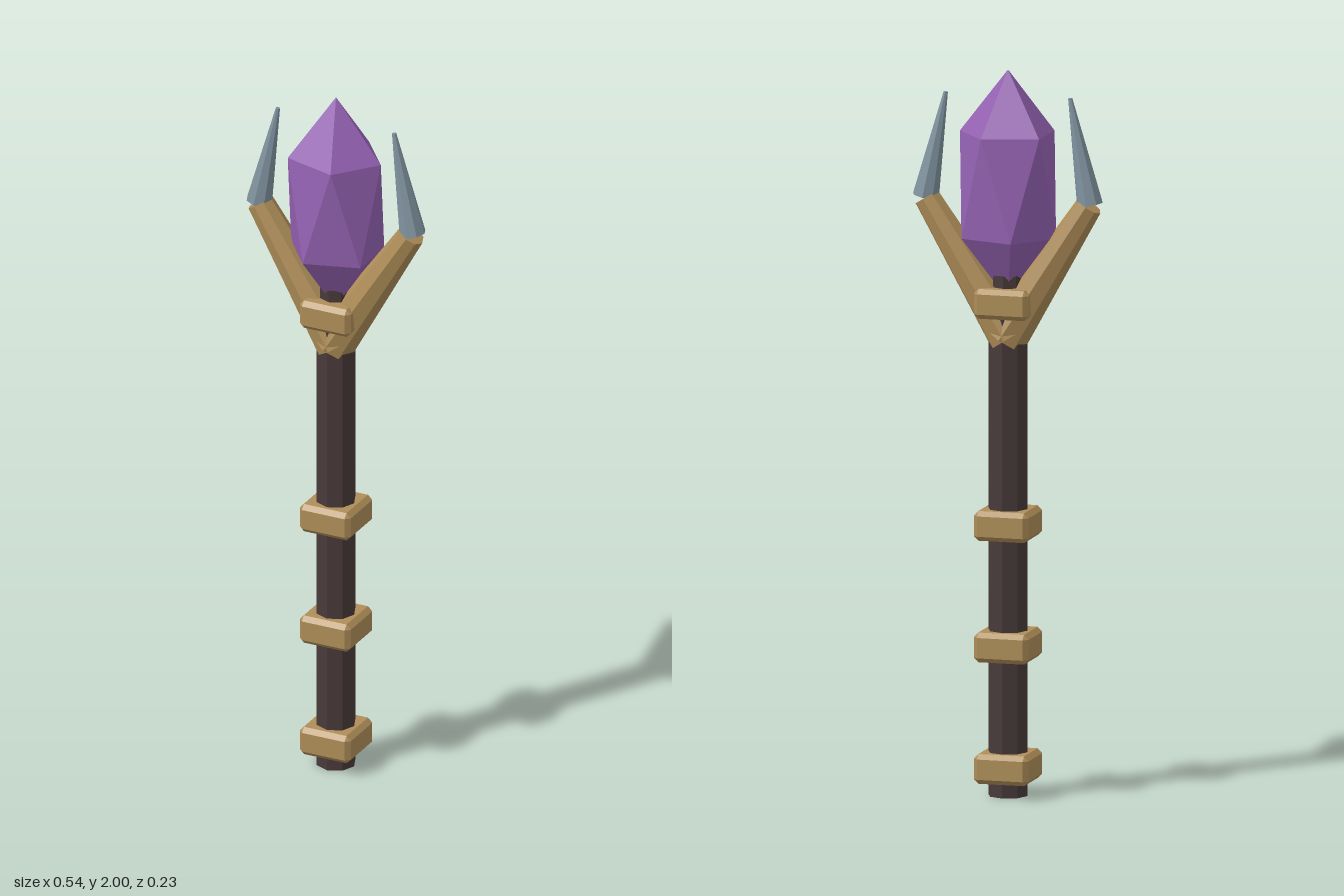
import * as THREE from 'three';
import { ConvexGeometry } from 'three/addons/geometries/ConvexGeometry.js';

const material = (name, color) => {
  const m = new THREE.MeshStandardMaterial({ color, flatShading: true });
  m.name = name;
  return m;
};

// Box with every edge and corner chamfered
function chamferedBox(w, h, d, c) {
  const half = [w / 2, h / 2, d / 2];
  const points = [];
  for (const sx of [-1, 1]) for (const sy of [-1, 1]) for (const sz of [-1, 1]) {
    for (let axis = 0; axis < 3; axis++) {
      const [x, y, z] = half.map((v, i) => (i === axis ? v : v - c));
      points.push(new THREE.Vector3(sx * x, sy * y, sz * z));
    }
  }
  return new ConvexGeometry(points);
}

// Eight-sided tapered bar between two points in the x-y plane
function taperedBar(name, from, to, r0, r1, mat) {
  const a = new THREE.Vector3(...from, 0);
  const dir = new THREE.Vector3(...to, 0).sub(a);
  const mesh = new THREE.Mesh(new THREE.CylinderGeometry(r1, r0, dir.length(), 8), mat);
  mesh.position.copy(a).addScaledVector(dir, 0.5);
  mesh.rotation.z = Math.atan2(-dir.x, dir.y);
  mesh.name = name;
  return mesh;
}

// Stretched twenty-sided gem: two points and two staggered rings of five
function gemGeometry() {
  const points = [new THREE.Vector3(0, 2, 0), new THREE.Vector3(0, 1.365, 0)];
  for (let i = 0; i < 5; i++) {
    const a = (i * Math.PI * 2) / 5;
    const x = 0.136 * Math.cos(a), z = 0.123 * Math.sin(a);
    points.push(new THREE.Vector3(x, 1.825, z), new THREE.Vector3(-x, 1.54, -z));
  }
  return new ConvexGeometry(points);
}

export function createModel() {
  const model = new THREE.Group();
  model.name = 'crystalStaff';
  const wood = material('darkWood', 0x483939);
  const gold = material('dullGold', 0xae8d58);
  const steel = material('steel', 0x80939f);
  const purple = material('purpleCrystal', 0x9562b3);

  // Shaft and the narrower neck under the gem
  model.add(taperedBar('shaft', [0, 0], [0, 1.36], 0.055, 0.055, wood));
  model.add(taperedBar('neck', [0, 1.36], [0, 1.437], 0.045, 0.045, wood));

  // Square bands
  const bandGeometry = chamferedBox(0.155, 0.082, 0.155, 0.013);
  [0.08, 0.415, 0.75, 1.362].forEach((y, i) => {
    const band = new THREE.Mesh(bandGeometry, gold);
    band.position.y = y;
    band.name = `band${i + 1}`;
    model.add(band);
  });

  // Forked prongs with steel claws
  for (const [side, s] of [['left', 1], ['right', -1]]) {
    model.add(taperedBar(`${side}Prong`, [-0.008 * s, 1.262], [0.23 * s, 1.637], 0.063, 0.037, gold));
    model.add(taperedBar(`${side}Claw`, [0.232 * s, 1.64], [0.176 * s, 1.93], 0.037, 0.006, steel));
  }

  const gem = new THREE.Mesh(gemGeometry(), purple);
  gem.name = 'crystal';
  model.add(gem);
  return model;
}
